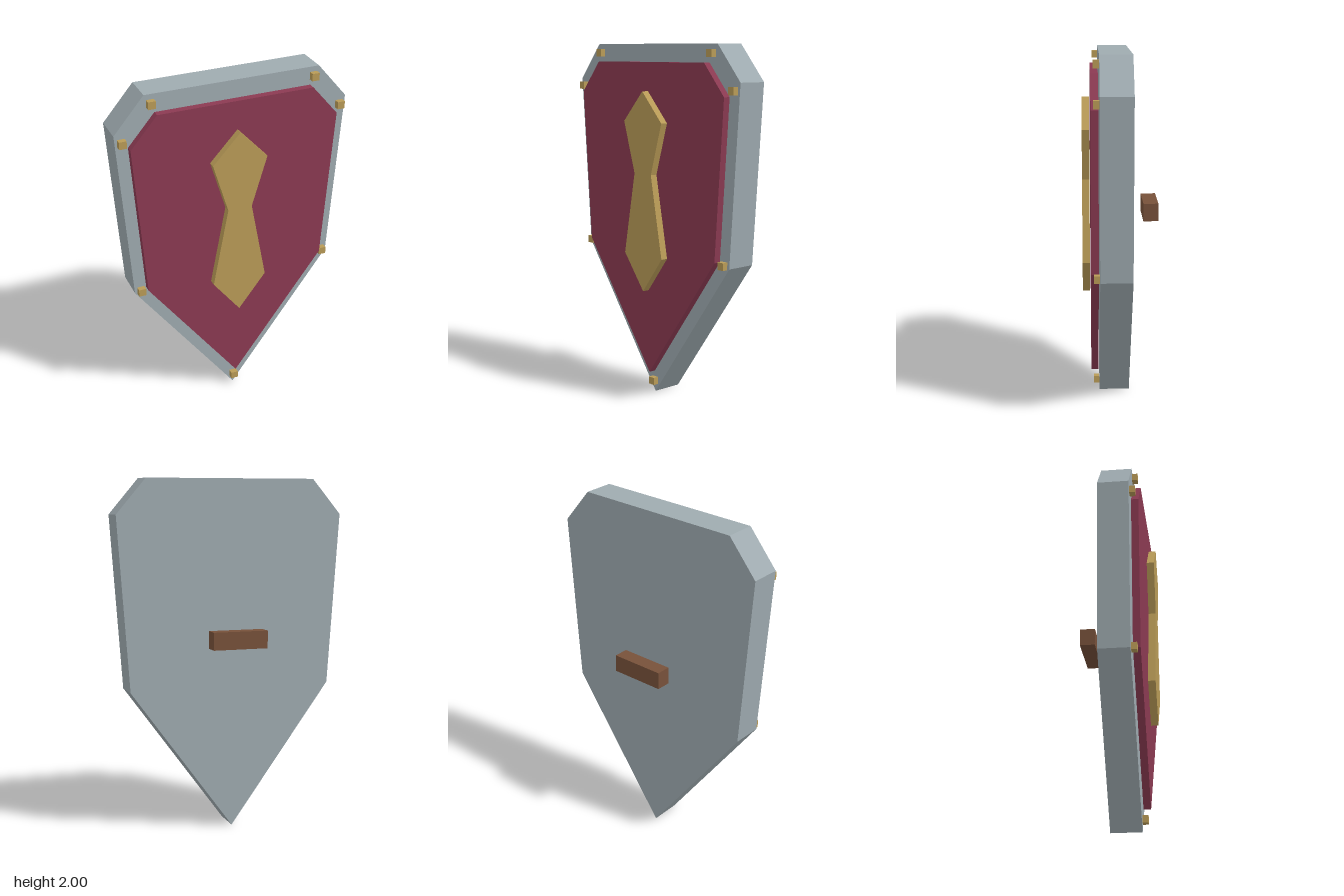
import * as THREE from 'three';

const material = (name, color) => {
  const m = new THREE.MeshStandardMaterial({ color });
  m.name = name;
  return m;
};

// Extrudes an outline between two depths; the right half is mirrored to the left.
function plate(name, half, back, front, mat) {
  const mirrored = half.filter(([x]) => x > 0).reverse().map(([x, y]) => [-x, y]);
  const points = [...half, ...mirrored].map(([x, y]) => new THREE.Vector2(x, y));
  const geometry = new THREE.ExtrudeGeometry(new THREE.Shape(points), {
    depth: front - back, bevelEnabled: false,
  });
  geometry.translate(0, 0, back);
  const mesh = new THREE.Mesh(geometry, mat);
  mesh.name = name;
  return mesh;
}

function box(name, size, position, mat) {
  const mesh = new THREE.Mesh(new THREE.BoxGeometry(...size), mat);
  mesh.position.set(...position);
  mesh.name = name;
  return mesh;
}

export function createModel() {
  const steel = material('steel', 0x9fabb0);
  const crimson = material('crimson', 0x8b3a52);
  const brass = material('brass', 0xb99b57);
  const wood = material('wood', 0x77513a);

  const shield = new THREE.Group();
  shield.name = 'shield';

  // Shield body, raised face and emblem; outlines run from bottom to top
  shield.add(
    plate('body', [[0, 0], [0.595, 0.815], [0.665, 1.8], [0.495, 2]], -0.056, 0.119, steel),
    plate('facePanel', [[0, 0.125], [0.53, 0.845], [0.593, 1.725], [0.443, 1.9]], 0.125, 0.166, crimson),
    plate('emblem', [[0, 0.61], [0.158, 0.815], [0.07, 1.28], [0.158, 1.57], [0, 1.74]], 0.171, 0.213, brass),
  );

  // Square rivets around the rim
  const rivets = new THREE.Group();
  rivets.name = 'rivets';
  for (const [x, y] of [[0.463, 1.95], [0.627, 1.757], [0.56, 0.83], [0, 0.068]]) {
    for (const side of x ? [-1, 1] : [1]) {
      rivets.add(box('rivet', [0.042, 0.042, 0.032], [side * x, y, 0.136], brass));
    }
  }
  shield.add(rivets);

  // Grip floating behind the body
  shield.add(box('grip', [0.318, 0.1, 0.085], [0, 1.105, -0.172], wood));

  return shield;
}
